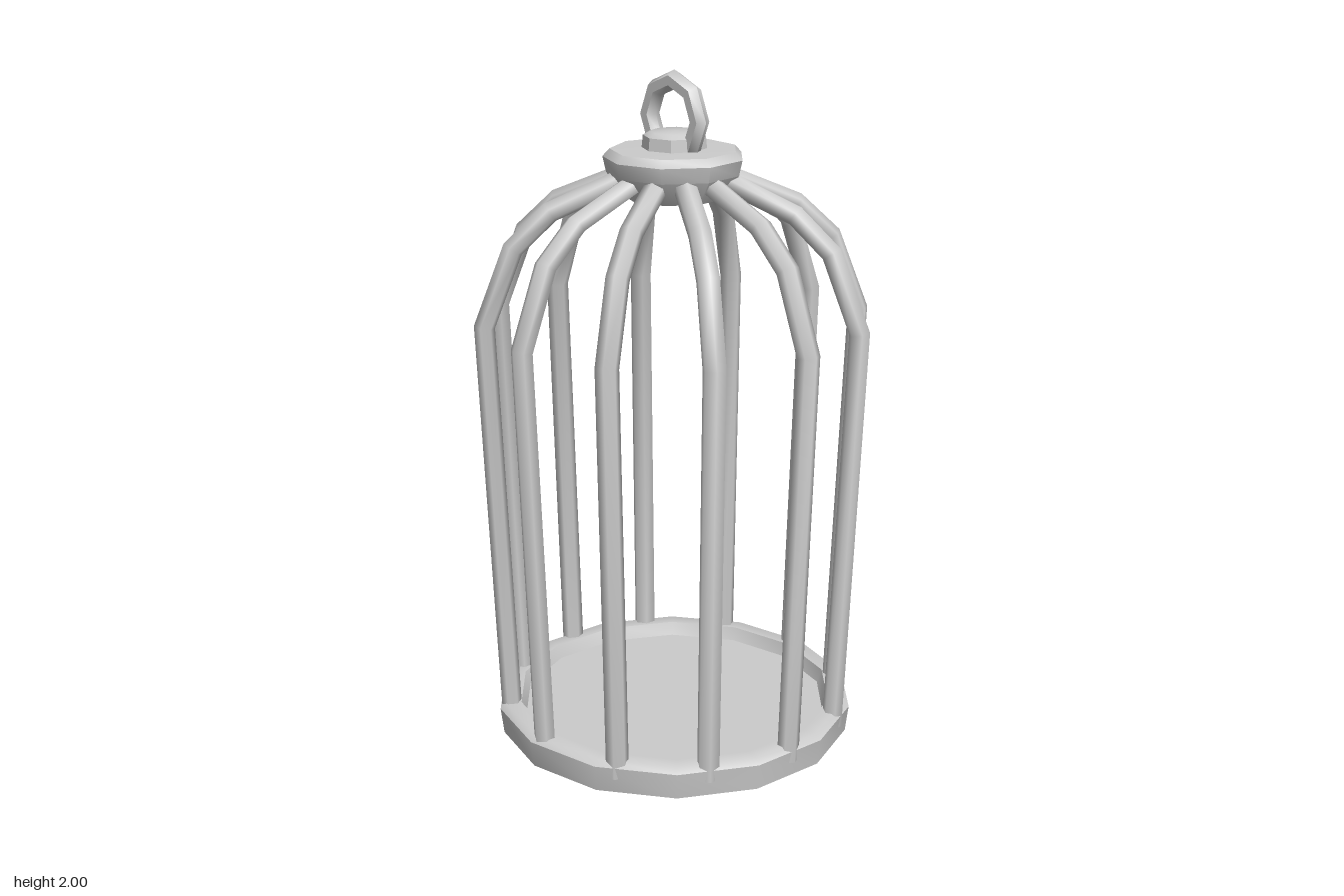
import * as THREE from 'three';
import { toCreasedNormals } from 'three/addons/utils/BufferGeometryUtils.js';

const BARS = 12;
const TWIST = 0.03; // slight turn of the whole cage about y

function part(name, geometry, material, crease = 0.7) {
  const mesh = new THREE.Mesh(toCreasedNormals(geometry, crease), material);
  mesh.name = name;
  return mesh;
}

function lathe(points, sides) {
  return new THREE.LatheGeometry(points.map(([r, y]) => new THREE.Vector2(r, y)), sides);
}

// Sweep an oval section along a path of [radius, height] points in the xy plane, mitred at bends
function barGeometry(path, halfThick, halfWide, sides) {
  const pts = path.map(([x, y]) => new THREE.Vector2(x, y));
  const positions = [];
  const index = [];
  pts.forEach((p, i) => {
    const into = p.clone().sub(pts[Math.max(i - 1, 0)]).normalize();
    const out = pts[Math.min(i + 1, pts.length - 1)].clone().sub(p).normalize();
    const dir = into.clone().add(out).normalize();
    const stretch = 1 / Math.max(dir.dot(i ? into : out), 0.5);
    for (let j = 0; j < sides; j++) {
      const a = (j / sides) * Math.PI * 2;
      const n = Math.cos(a) * halfThick * stretch;
      positions.push(p.x + dir.y * n, p.y - dir.x * n, Math.sin(a) * halfWide);
    }
  });
  for (let i = 0; i < pts.length - 1; i++) {
    for (let j = 0; j < sides; j++) {
      const a = i * sides + j;
      const b = i * sides + ((j + 1) % sides);
      index.push(a, a + sides, b, b, a + sides, b + sides);
    }
  }
  const geometry = new THREE.BufferGeometry();
  geometry.setAttribute('position', new THREE.Float32BufferAttribute(positions, 3));
  geometry.setIndex(index);
  return geometry;
}

export function createModel() {
  const group = new THREE.Group();
  group.name = 'birdCage';
  const grey = new THREE.MeshStandardMaterial({ color: 0xcccccc });
  const greyOpen = new THREE.MeshStandardMaterial({ color: 0xcccccc, side: THREE.DoubleSide });

  // Shallow tray with a raised rim
  const base = lathe([
    [0, 0.005], [0.535, 0.005], [0.545, 0.085], [0.525, 0.1],
    [0.48, 0.1], [0.465, 0.06], [0, 0.06],
  ], 14);
  group.add(part('baseTray', base, grey));

  // Bars: leaning outwards, then bending in to the cap
  const bars = new THREE.Group();
  bars.name = 'bars';
  const path = [[0.505, 0.05], [0.555, 1.285], [0.468, 1.51], [0.36, 1.612], [0.14, 1.705]];
  const bar = barGeometry(path, 0.03, 0.034, 6);
  for (let i = 0; i < BARS; i++) {
    const mesh = part('bar', bar, greyOpen, 1.2);
    mesh.rotation.y = (i / BARS) * Math.PI * 2 + TWIST;
    bars.add(mesh);
  }
  group.add(bars);

  // Cap that gathers the bars
  const cap = lathe([
    [0, 1.645], [0.145, 1.645], [0.195, 1.715], [0.205, 1.76], [0.185, 1.782], [0, 1.787],
  ], 9);
  group.add(part('cap', cap, grey));

  // Small knob under the hanging ring
  const knob = lathe([[0, 1.77], [0.095, 1.77], [0.09, 1.82], [0.07, 1.832], [0, 1.834]], 8);
  group.add(part('knob', knob, grey));

  // Hanging ring
  const ring = part('hangingRing', new THREE.TorusGeometry(0.107, 0.028, 6, 8), grey, 0.9);
  ring.position.y = 1.87;
  ring.rotation.y = TWIST;
  group.add(ring);

  return group;
}
